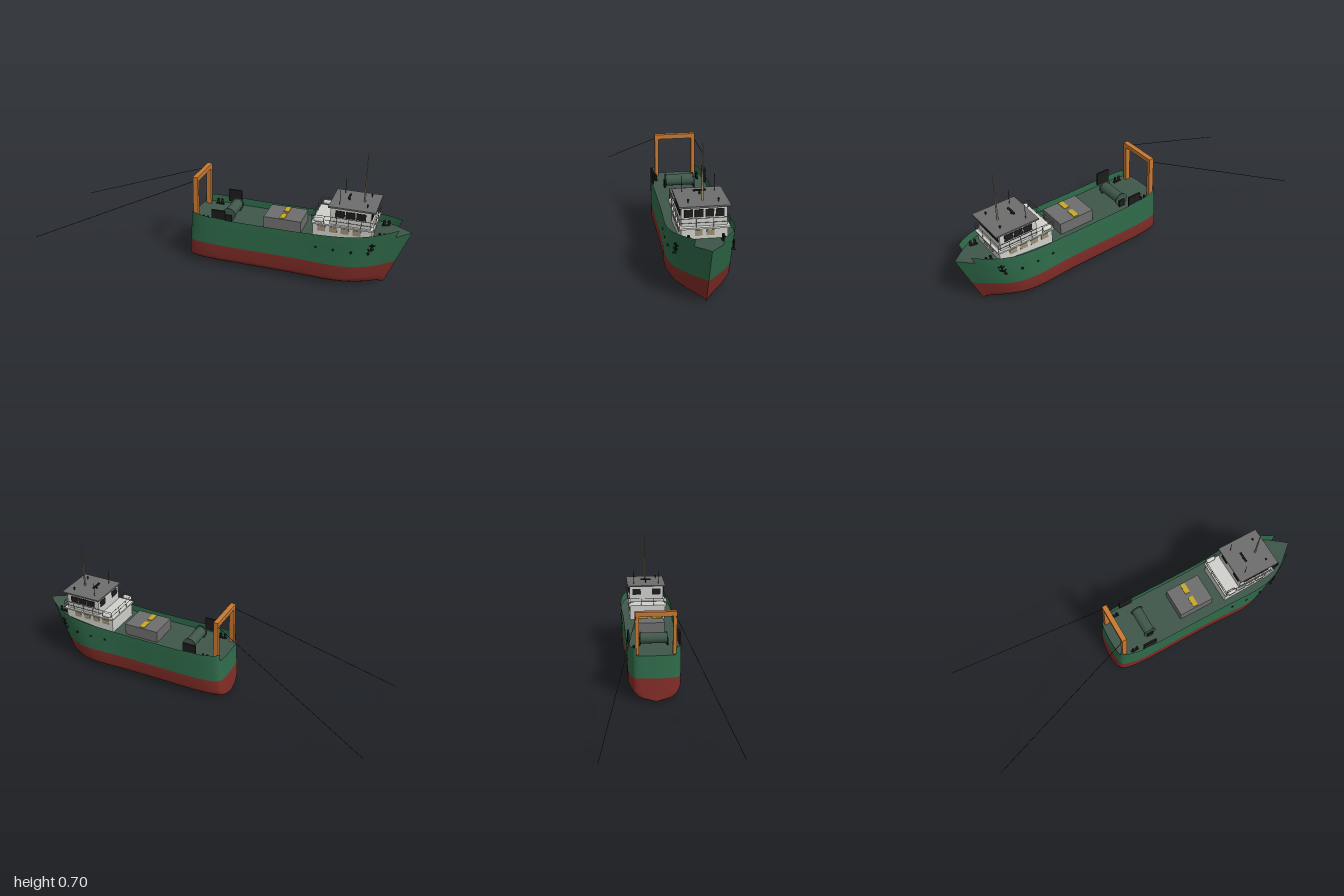
import * as THREE from 'three';

const mat = (name, color, side = THREE.FrontSide) => {
  const m = new THREE.MeshStandardMaterial({ color, side });
  m.name = name;
  return m;
};

export function createModel() {
  const ship = new THREE.Group();
  ship.name = 'trawler';
  const green = mat('hull green', 0x2f6b4a, THREE.DoubleSide);
  const red = mat('antifouling red', 0x822d27, THREE.DoubleSide);
  const deckGreen = mat('deck green', 0x40574a);
  const orange = mat('gantry orange', 0xc87832);
  const white = mat('house white', 0xd0d0cc);
  const grey = mat('roof grey', 0x6e6e6e);
  const black = mat('fittings black', 0x1c1c1c);
  const yellow = mat('hatch yellow', 0xc8aa24);
  const tan = mat('khaki', 0x9c9070);

  const add = (name, geo, material, x = 0, y = 0, z = 0) => {
    const m = new THREE.Mesh(geo, material);
    m.name = name;
    m.position.set(x, y, z);
    ship.add(m);
    return m;
  };
  // box given by its limits
  const box = (name, material, x0, x1, y0, y1, z0, z1) =>
    add(name, new THREE.BoxGeometry(x1 - x0, y1 - y0, z1 - z0), material,
      (x0 + x1) / 2, (y0 + y1) / 2, (z0 + z1) / 2);
  // round bar between two points
  const rod = (name, material, a, b, r, rTop = r, sides = 8) => {
    const p = new THREE.Vector3(...a), q = new THREE.Vector3(...b), d = q.clone().sub(p);
    const m = add(name, new THREE.CylinderGeometry(rTop, r, d.length(), sides), material);
    m.position.copy(p).add(q).multiplyScalar(0.5);
    m.quaternion.setFromUnitVectors(new THREE.Vector3(0, 1, 0), d.normalize());
    return m;
  };

  // Hull: deck outline as (x, deck height, half width), lofted down to the keel
  const outline = new THREE.CatmullRomCurve3([
    [-0.155, 0.255, 0], [-0.153, 0.255, 0.06], [-0.147, 0.255, 0.1], [-0.135, 0.254, 0.12],
    [-0.09, 0.251, 0.136], [0, 0.246, 0.146], [0.25, 0.243, 0.147], [0.5, 0.245, 0.148],
    [0.65, 0.256, 0.155], [0.73, 0.265, 0.153], [0.81, 0.277, 0.136], [0.88, 0.288, 0.1],
    [0.93, 0.295, 0.062], [0.97, 0.3, 0.027], [1, 0.302, 0],
  ].map(p => new THREE.Vector3(...p))).getPoints(112);
  const point = (p, y, fullness, s) => {
    const u = (p.x + 0.155) / 1.155;
    const stern = -0.17 + 0.06 * y, stem = 0.88 + 0.397 * y;
    return [stern + (stem - stern) * u, y, s * p.z * fullness];
  };
  const loft = (name, material, stations, rows, s) => {
    const pos = [], idx = [], n = rows.length;
    stations.forEach((p, i) => rows.forEach((row, j) => {
      pos.push(...row(p, s));
      if (i && j) {
        const a = (i - 1) * n + j - 1, b = a + n, c = b + 1, d = a + 1;
        if (s > 0) idx.push(a, b, c, a, c, d);
        else idx.push(a, c, b, a, d, c);
      }
    }));
    const g = new THREE.BufferGeometry();
    g.setAttribute('position', new THREE.Float32BufferAttribute(pos, 3));
    g.setIndex(idx);
    g.computeVertexNormals();
    add(name, g, material);
  };
  const level = (y, f) => (p, s) => point(p, y, f, s);
  const sheer = (rise, f = 1) => (p, s) => point(p, p.y + rise, f, s);
  const bulwarkStations = outline.filter(p => p.x > -0.146 && p.x < 0.932);
  for (const s of [1, -1]) {
    loft('lowerHull', red, outline,
      [level(0, 0), level(0.015, 0.66), level(0.024, 0.78), level(0.038, 0.89),
        level(0.06, 0.97), level(0.13, 0.985)], s);
    loft('upperHull', green, outline, [level(0.13, 0.985), level(0.2, 0.99), sheer(0)], s);
    loft('bulwark', green, bulwarkStations, [sheer(0), sheer(0.041)], s);
    loft('deck', deckGreen, outline, [sheer(0), sheer(0, 0)], s);
  }

  // Deckhouse and wheelhouse
  box('lowerHouse', white, 0.515, 0.815, 0.235, 0.33, -0.105, 0.105);
  box('bridgeDeck', white, 0.507, 0.825, 0.328, 0.336, -0.115, 0.115);
  box('wheelhouse', white, 0.6, 0.805, 0.336, 0.43, -0.103, 0.103);
  box('roof', grey, 0.59, 0.828, 0.429, 0.437, -0.115, 0.115);
  for (const z of [-0.07, -0.0235, 0.0235, 0.07])
    box('frontWindow', black, 0.803, 0.808, 0.379, 0.415, z - 0.0195, z + 0.0195);
  for (const z of [-0.06, 0.06])
    box('aftWindow', black, 0.597, 0.602, 0.379, 0.415, z - 0.025, z + 0.025);
  for (const z of [-0.026, 0.026])
    box('lowerFrontWindow', tan, 0.813, 0.818, 0.295, 0.321, z - 0.017, z + 0.017);
  for (const s of [1, -1]) {
    for (const x of [0.65, 0.703, 0.756])
      box('sideWindow', black, x - 0.024, x + 0.024, 0.379, 0.415, s * 0.103 - 0.003, s * 0.103 + 0.003);
    for (const x of [0.56, 0.62, 0.68, 0.74])
      box('lowerSideWindow', tan, x - 0.02, x + 0.02, 0.292, 0.32, s * 0.105 - 0.003, s * 0.105 + 0.003);

    // Bridge deck railing
    for (const y of [0.358, 0.379])
      rod('sideRail', grey, [0.51, y, s * 0.113], [0.822, y, s * 0.113], 0.0012);
    for (let i = 0; i < 6; i++) {
      const x = 0.51 + i * 0.0624;
      rod('railPost', grey, [x, 0.334, s * 0.113], [x, 0.379, s * 0.113], 0.0012);
    }
    for (const x of [0.51, 0.822])
      rod('railPost', grey, [x, 0.334, s * 0.038], [x, 0.379, s * 0.038], 0.0012);

    // Life raft canister
    const raft = add('lifeRaft', new THREE.CapsuleGeometry(0.012, 0.03, 6, 14), white, 0.545, 0.354, s * 0.11);
    raft.rotation.z = Math.PI / 2;

    // Roof fittings
    rod('whipAntenna', black, [0.64, 0.436, s * 0.075], [0.64, 0.516, s * 0.075], 0.0013);
    rod('lampPost', black, [0.778, 0.436, s * 0.068], [0.778, 0.448, s * 0.068], 0.002);
    add('searchlight', new THREE.SphereGeometry(0.0055, 12, 8), black, 0.778, 0.45, s * 0.068);

    // Stern gantry leg, towing warp and trawl door
    box('gantryLeg', orange, -0.135, -0.108, 0.245, 0.466, s * 0.1 - 0.01, s * 0.1 + 0.01);
    rod('towingWarp', black, [-0.13, 0.464, s * 0.104], [-1, 0.085, s * 0.317], 0.0015, 0.0015, 6);
    box('trawlDoor', black, -0.02, 0.056, 0.262, 0.334, s * 0.139 - 0.005, s * 0.139 + 0.005);

    // Mooring bollards, aft and forward
    for (const [x, y, z] of [[-0.062, 0.248, 0.113], [0.862, 0.283, 0.077]]) {
      box('bollardBase', black, x - 0.023, x + 0.023, y, y + 0.006, s * z - 0.007, s * z + 0.007);
      for (const dx of [-0.012, 0.012])
        rod('bollard', black, [x + dx, y, s * z], [x + dx, y + 0.03, s * z], 0.006, 0.006, 12);
    }

    // Portholes
    for (const [x, z] of [[0.545, 0.151], [0.635, 0.154], [0.725, 0.154], [0.808, 0.138]])
      rod('porthole', black, [x, 0.218, s * (z - 0.012)], [x, 0.218, s * (z + 0.003)], 0.006, 0.006, 16);

    // Anchor
    rod('anchorShank', black, [0.82, 0.235, s * 0.129], [0.826, 0.272, s * 0.131], 0.0035);
    rod('anchorStock', black, [0.812, 0.262, s * 0.135], [0.84, 0.262, s * 0.122], 0.003);
    const fluke = add('anchorFlukes', new THREE.TorusGeometry(0.014, 0.003, 6, 14, Math.PI), black, 0.82, 0.248, s * 0.131);
    fluke.rotation.set(0, s * 0.45, Math.PI);
  }
  for (const x of [0.51, 0.822]) for (const y of [0.358, 0.379])
    rod('crossRail', grey, [x, y, -0.113], [x, y, 0.113], 0.0012);

  // Mast and radar
  rod('lowerMast', tan, [0.752, 0.436, 0], [0.752, 0.57, 0], 0.005, 0.004, 12);
  rod('upperMast', tan, [0.752, 0.57, 0], [0.752, 0.702, 0], 0.003, 0.0025, 12);
  rod('radarPost', black, [0.675, 0.436, 0], [0.675, 0.453, 0], 0.004);
  box('radarScanner', black, 0.67, 0.68, 0.452, 0.458, -0.03, 0.03);

  // Gantry crossbeam
  box('gantryBeam', orange, -0.135, -0.108, 0.463, 0.488, -0.11, 0.11);

  // Cargo hatch with yellow markings
  box('hatch', grey, 0.247, 0.447, 0.238, 0.308, -0.08, 0.08);
  for (const z of [-0.043, 0.043])
    box('hatchMarking', yellow, 0.33, 0.358, 0.306, 0.312, z - 0.03, z + 0.03);

  // Net winch
  rod('netDrum', deckGreen, [0.053, 0.284, -0.073], [0.053, 0.284, 0.073], 0.03, 0.03, 24);
  for (const s of [1, -1]) {
    rod('drumFlange', deckGreen, [0.053, 0.284, s * 0.07], [0.053, 0.284, s * 0.075], 0.036, 0.036, 24);
    box('winchStand', black, 0.035, 0.071, 0.24, 0.284, s * 0.078 - 0.003, s * 0.078 + 0.003);
  }
  return ship;
}
